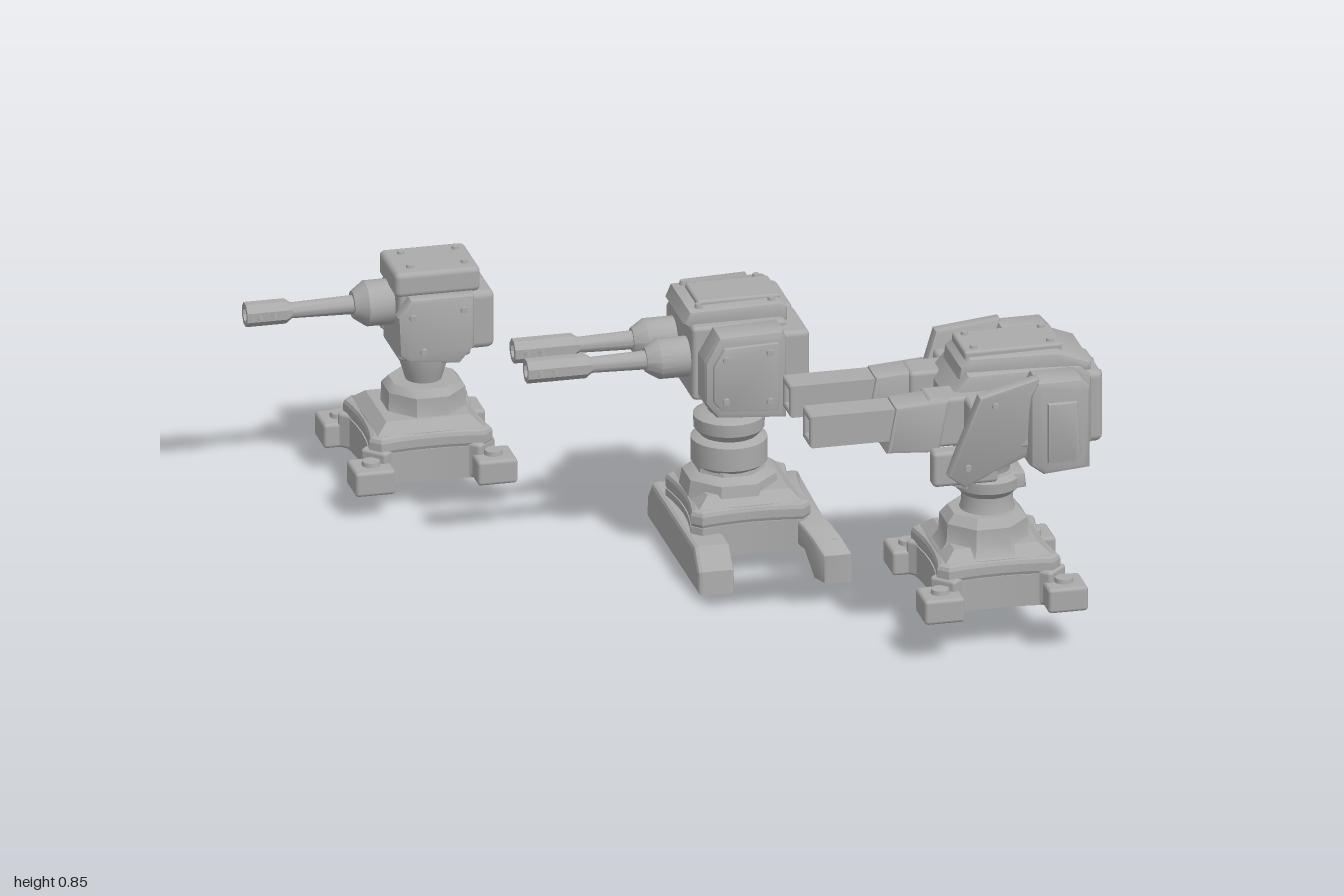
import * as THREE from 'three';
import { RoundedBoxGeometry } from 'three/addons/geometries/RoundedBoxGeometry.js';
import { toCreasedNormals } from 'three/addons/utils/BufferGeometryUtils.js';

const metal = new THREE.MeshStandardMaterial({ color: 0xaaaaaa });
metal.name = 'grey metal';
const SIDES = [1, -1];

function add(g, name, geo) {
  const m = new THREE.Mesh(geo, metal);
  m.name = name;
  g.add(m);
  return m;
}
// Rounded box from ranges in x, y, z
function box(g, name, x0, x1, y0, y1, z0, z1, r = 0.012) {
  const geo = new RoundedBoxGeometry(x1 - x0, y1 - y0, Math.abs(z1 - z0), 2, r);
  geo.translate((x0 + x1) / 2, (y0 + y1) / 2, (z0 + z1) / 2);
  return add(g, name, geo);
}
function extrude(shape, depth, b) {
  return new THREE.ExtrudeGeometry(shape, {
    depth: depth - 2 * b, bevelEnabled: b > 0, bevelSize: b, bevelThickness: b, bevelOffset: -b, bevelSegments: 2, curveSegments: 6,
  }).translate(0, 0, b);
}
const poly = (pts) => new THREE.Shape(pts.map((p) => new THREE.Vector2(...p)));
// Bevelled plate with an x-y outline, between two z values
function plate(g, name, pts, za, zb, b = 0.012) {
  const geo = extrude(poly(pts), Math.abs(zb - za), b).translate(0, 0, Math.min(za, zb));
  return add(g, name, toCreasedNormals(geo, 0.6));
}
// Bevelled z-y profile run along x
function alongX(shape, x0, x1, b) {
  return extrude(shape, x1 - x0, b).rotateY(Math.PI / 2).translate(x0, 0, 0);
}
// Turned upright part; pts are [radius, y]
function turned(g, name, x, pts, seg = 28) {
  const k = seg < 12 ? 1 / Math.cos(Math.PI / seg) : 1;
  const v = pts.map((p) => new THREE.Vector2(p[0] * k, p[1]));
  const geo = new THREE.LatheGeometry(v, seg, Math.PI / seg);
  return add(g, name, toCreasedNormals(geo.translate(x, 0, 0), 0.6));
}
// Turned part lying along x; pts are [x, radius] from breech to muzzle
function lying(g, name, pts, y, z, seg = 20) {
  const v = pts.map((p) => new THREE.Vector2(p[1], -p[0]));
  const geo = new THREE.LatheGeometry(v, seg, Math.PI / seg).rotateZ(Math.PI / 2).translate(0, y, z);
  return add(g, name, toCreasedNormals(geo, 0.6));
}
function rivet(g, x, y, z, axis, r = 0.011) {
  const geo = new THREE.CylinderGeometry(r * 0.8, r, 0.012, 10);
  if (axis === 'z') geo.rotateX(Math.sign(z) * Math.PI / 2);
  if (axis === 'x') geo.rotateZ(-Math.PI / 2);
  add(g, 'rivet', geo.translate(x, y, z));
}
// Square outline whose sides curve inward towards the middle
function baseOutline(h, dip) {
  const c = h * 0.84, s = new THREE.Shape();
  s.moveTo(-c, -h);
  s.quadraticCurveTo(0, -h + dip, c, -h);
  s.lineTo(h, -c);
  s.quadraticCurveTo(h - dip, 0, h, c);
  s.lineTo(c, h);
  s.quadraticCurveTo(0, h - dip, -c, h);
  s.lineTo(-h, c);
  s.quadraticCurveTo(-h + dip, 0, -h, -c);
  return s;
}
// Hollow skirt, shoulder and cap shared by all pedestals
function pedestal(g, x, y, h) {
  const lower = baseOutline(h, 0.03), q = h * 0.68;
  lower.holes.push(new THREE.Path([[-q, -q], [-q, q], [q, q], [q, -q]].map((p) => new THREE.Vector2(...p))));
  const up = (geo, yy) => geo.rotateX(-Math.PI / 2).translate(x, yy, 0);
  add(g, 'baseSkirt', up(extrude(lower, 0.09, 0), y));
  add(g, 'baseShoulder', up(extrude(baseOutline(h, 0.03), 0.05, 0.014), y + 0.085));
  turned(g, 'baseCap', x, [[0, y + 0.1], [h * 0.88, y + 0.1], [h * 0.86, y + 0.135], [h * 0.68, y + 0.163], [0, y + 0.163]], 4);
}
function cornerFeet(g, x, y, half) {
  for (const sx of SIDES) for (const sz of SIDES) {
    const a = x + sx * (half - 0.055), b = sz * (half + 0.01 - 0.055);
    box(g, 'foot', a - 0.055, a + 0.055, y, y + 0.07, b - 0.055, b + 0.055, 0.01);
    add(g, 'footBolt', new THREE.CylinderGeometry(0.024, 0.026, 0.014, 14).translate(a, y + 0.075, b));
    const l = box(g, 'footLink', -0.05, 0.05, y, y + 0.1, -0.04, 0.04, 0.01);
    l.position.set(x + sx * (half - 0.1), 0, sz * (half - 0.1));
    l.rotation.y = sx * sz * -Math.PI / 4;
  }
}
function roundBarrel(g, x0, x1, xm, tip, y, z, rMantlet) {
  lying(g, 'mantlet', [[x0, 0], [x0, rMantlet], [x1 + 0.035, rMantlet], [x1, rMantlet * 0.6], [x1, 0]], y, z);
  lying(g, 'barrel', [[x1 + 0.01, 0.026], [xm, 0.021]], y, z);
  lying(g, 'muzzle', [[xm + 0.02, 0.02], [xm, 0.034], [tip, 0.034], [tip, 0.02], [tip + 0.05, 0.02], [tip + 0.05, 0]], y, z, 8);
  for (const s of SIDES) for (const d of [0.035, 0.075]) rivet(g, tip + d, y, z + s * 0.03, 'none', 0.009);
  for (const s of SIDES) for (const d of [0.035, 0.075]) {
    add(g, 'muzzleVent', new THREE.CylinderGeometry(0.01, 0.01, 0.008, 10).rotateX(Math.PI / 2).translate(tip + d, y, z + s * 0.031));
  }
}

// Small turret with one round barrel
function singleTurret() {
  const g = new THREE.Group();
  g.name = 'singleBarrelTurret';
  g.position.z = -0.712;
  pedestal(g, -0.525, 0.07, 0.17);
  cornerFeet(g, -0.53, 0.07, 0.223);
  turned(g, 'baseTier', -0.51, [[0.115, 0.22], [0.107, 0.235], [0.105, 0.285], [0.088, 0.305], [0, 0.305]], 8);
  turned(g, 'neck', -0.51, [[0.048, 0.3], [0.055, 0.325], [0.07, 0.375], [0.07, 0.4], [0, 0.4]]);
  box(g, 'headCore', -0.6, -0.4, 0.39, 0.6, -0.09, 0.09);
  box(g, 'rearBox', -0.44, -0.337, 0.41, 0.575, -0.1, 0.1, 0.02);
  box(g, 'topPlate', -0.61, -0.375, 0.575, 0.645, -0.095, 0.095, 0.015);
  for (const s of SIDES) {
    plate(g, 'sideArmour', [[-0.605, 0.42], [-0.61, 0.53], [-0.575, 0.58], [-0.4, 0.58], [-0.4, 0.43], [-0.44, 0.385], [-0.58, 0.4]], s * 0.08, s * 0.128);
    for (const [x, y] of [[-0.57, 0.53], [-0.43, 0.54], [-0.54, 0.43]]) rivet(g, x, y, s * 0.129, 'z');
    for (const x of [-0.56, -0.41]) rivet(g, x, 0.647, s * 0.05, 'y');
  }
  roundBarrel(g, -0.59, -0.705, -0.89, -1, 0.53, -0.005, 0.062);
  return g;
}

// Medium turret with two round barrels on a claw base
function twinTurret() {
  const g = new THREE.Group();
  g.name = 'twinBarrelTurret';
  g.position.z = -0.045;
  pedestal(g, 0.19, 0.05, 0.165);
  const bar = [[-0.29, 0], [0.29, 0], [0.285, 0.065], [0.235, 0.12], [-0.235, 0.12], [-0.285, 0.065]];
  add(g, 'frontFootBar', alongX(poly(bar), 0.01, 0.11, 0.012));
  // Rear claw bows backward towards its tips
  const top = [], under = [];
  for (let i = -6; i <= 6; i++) {
    const t = i / 6, z = t * 0.288;
    top.push([-z, 0.145 - 0.065 * t * t * t * t]);
    under.push([z, Math.abs(t) > 0.7 ? 0 : 0.065]);
  }
  const claw = alongX(poly([...under, ...top]), 0.295, 0.375, 0.01);
  const p = claw.attributes.position;
  for (let i = 0; i < p.count; i++) p.setX(i, p.getX(i) + 0.06 * (p.getZ(i) / 0.288) ** 2);
  claw.computeVertexNormals();
  add(g, 'rearClaw', toCreasedNormals(claw, 0.5));
  for (const s of SIDES) rivet(g, 0.395, 0.105, s * 0.235, 'y', 0.016);
  turned(g, 'baseTier', 0.165, [[0.125, 0.19], [0.118, 0.235], [0.09, 0.25], [0.085, 0.27], [0, 0.27]], 8);
  turned(g, 'column', 0.165, [[0.085, 0.255], [0.103, 0.27], [0.103, 0.335], [0.085, 0.345], [0, 0.345]]);
  turned(g, 'collar', 0.165, [[0.07, 0.335], [0.095, 0.365], [0.097, 0.4], [0.075, 0.412], [0, 0.412]]);
  turned(g, 'neck', 0.165, [[0.055, 0.4], [0.06, 0.43], [0.073, 0.47], [0.073, 0.5], [0, 0.5]]);
  box(g, 'headCore', 0.03, 0.29, 0.5, 0.71, -0.14, 0.14);
  plate(g, 'topPlate', [[0.03, 0.695], [0.015, 0.71], [0.03, 0.745], [0.28, 0.75], [0.3, 0.735], [0.3, 0.695]], -0.112, 0.112);
  box(g, 'topHatch', 0.06, 0.29, 0.73, 0.758, -0.07, 0.07, 0.008);
  for (const s of SIDES) {
    plate(g, 'sideArmour', [[0.045, 0.52], [0.045, 0.64], [0.085, 0.71], [0.26, 0.715], [0.27, 0.69], [0.27, 0.46], [0.08, 0.475]], s * 0.125, s * 0.225, 0.018);
    plate(g, 'sidePanel', [[0.065, 0.53], [0.065, 0.63], [0.095, 0.68], [0.245, 0.685], [0.245, 0.49], [0.09, 0.5]], s * 0.21, s * 0.235, 0.006);
    box(g, 'rearBox', 0.24, 0.342, 0.515, 0.695, s * 0.003, s * 0.19, 0.016);
    for (const [x, y] of [[0.1, 0.65], [0.22, 0.66], [0.1, 0.53], [0.22, 0.52]]) rivet(g, x, y, s * 0.236, 'z');
    for (const x of [0.06, 0.26]) rivet(g, x, 0.752, s * 0.085, 'y');
    roundBarrel(g, 0.05, -0.085, -0.25, -0.412, 0.605, s * 0.073, 0.055);
  }
  return g;
}

// Large turret with two square barrels and swept armour
function heavyTurret() {
  const g = new THREE.Group();
  g.name = 'heavyTurret';
  g.position.z = 0.66;
  const base = new THREE.Group();
  base.name = 'base';
  base.position.z = -0.014;
  g.add(base);
  pedestal(base, 0.7, 0.12, 0.17);
  cornerFeet(base, 0.7, 0.12, 0.225);
  turned(g, 'baseTier', 0.69, [[0.13, 0.26], [0.113, 0.285], [0.11, 0.335], [0.09, 0.36], [0, 0.36]], 8);
  turned(g, 'column', 0.7, [[0.078, 0.35], [0.07, 0.375], [0.07, 0.405], [0.09, 0.425], [0.092, 0.455], [0.078, 0.468], [0, 0.468]]);
  plate(g, 'collar', [[0.585, 0.45], [0.585, 0.468], [0.79, 0.468], [0.795, 0.425], [0.66, 0.415]], -0.06, 0.06, 0.008);
  turned(g, 'neck', 0.705, [[0.055, 0.46], [0.058, 0.49], [0.075, 0.52], [0.075, 0.565], [0, 0.565]]);
  plate(g, 'headCore', [[0.565, 0.6], [0.565, 0.72], [0.62, 0.785], [0.93, 0.785], [0.96, 0.75], [0.96, 0.56], [0.93, 0.54], [0.62, 0.54]], -0.118, 0.118, 0.015);
  box(g, 'rearBox', 0.9, 0.997, 0.55, 0.755, -0.095, 0.095, 0.02);
  // Top hood tapers towards the front
  const hood = plate(g, 'topHood', [[0.6, 0.765], [0.605, 0.8], [0.63, 0.822], [0.87, 0.825], [0.96, 0.79], [0.96, 0.765]], -0.11, 0.11);
  const hp = hood.geometry.attributes.position;
  for (let i = 0; i < hp.count; i++) hp.setZ(i, hp.getZ(i) * (hp.getX(i) < 0.7 ? 0.82 : 1));
  box(g, 'topHatch', 0.62, 0.89, 0.81, 0.838, -0.075, 0.075, 0.008);
  for (const s of SIDES) {
    // Swept armour: toes out to the front and leans in at the bottom
    const arm = plate(g, 'sweptArmour', [[0.535, 0.55], [0.615, 0.78], [0.785, 0.81], [0.8, 0.6], [0.775, 0.575], [0.585, 0.505]], 0, s * 0.045, 0.01);
    const p = arm.geometry.attributes.position;
    for (let i = 0; i < p.count; i++) p.setZ(i, p.getZ(i) + s * (0.215 - 0.2 * (p.getX(i) - 0.6) + 0.2 * (p.getY(i) - 0.72)));
    arm.geometry = toCreasedNormals(arm.geometry, 0.6);
    box(g, 'armourBracket', 0.6, 0.82, 0.6, 0.74, s * 0.1, s * 0.21);
    plate(g, 'sidePod', [[0.76, 0.56], [0.76, 0.76], [0.78, 0.8], [0.9, 0.8], [0.925, 0.77], [0.925, 0.54], [0.8, 0.53]], s * 0.135, s * 0.245, 0.018);
    plate(g, 'podPanel', [[0.805, 0.57], [0.805, 0.74], [0.885, 0.74], [0.895, 0.59], [0.88, 0.57]], s * 0.235, s * 0.258, 0.006);
    box(g, 'lowerMount', 0.5, 0.68, 0.51, 0.61, s * 0.16, s * 0.21);
    // Square barrel with an open bore
    const tube = poly([[-0.043, -0.045], [0.043, -0.045], [0.043, 0.045], [-0.043, 0.045]]);
    tube.holes.push(new THREE.Path([[-0.024, -0.026], [-0.024, 0.026], [0.024, 0.026], [0.024, -0.026]].map((v) => new THREE.Vector2(...v))));
    add(g, 'barrel', alongX(tube, 0.175, 0.42, 0.007).translate(0, 0.68, s * 0.111));
    box(g, 'boreFloor', 0.23, 0.42, 0.65, 0.71, s * 0.111 - 0.028, s * 0.111 + 0.028, 0.003);
    plate(g, 'barrelSleeve', [[0.385, 0.6], [0.41, 0.73], [0.56, 0.74], [0.53, 0.59]], s * 0.06, s * 0.162, 0.01);
    box(g, 'barrelMount', 0.5, 0.64, 0.6, 0.74, s * 0.05, s * 0.15);
    rivet(g, 0.66, 0.75, s * 0.255, 'z');
    rivet(g, 0.59, 0.57, s * 0.233, 'z');
    for (const y of [0.58, 0.73]) rivet(g, 0.997, y, s * 0.045, 'x');
    for (const x of [0.65, 0.86]) rivet(g, x, 0.84, s * 0.05, 'y');
  }
  return g;
}

export function createModel() {
  const model = new THREE.Group();
  model.name = 'turretSet';
  model.add(singleTurret(), twinTurret(), heavyTurret());
  return model;
}
